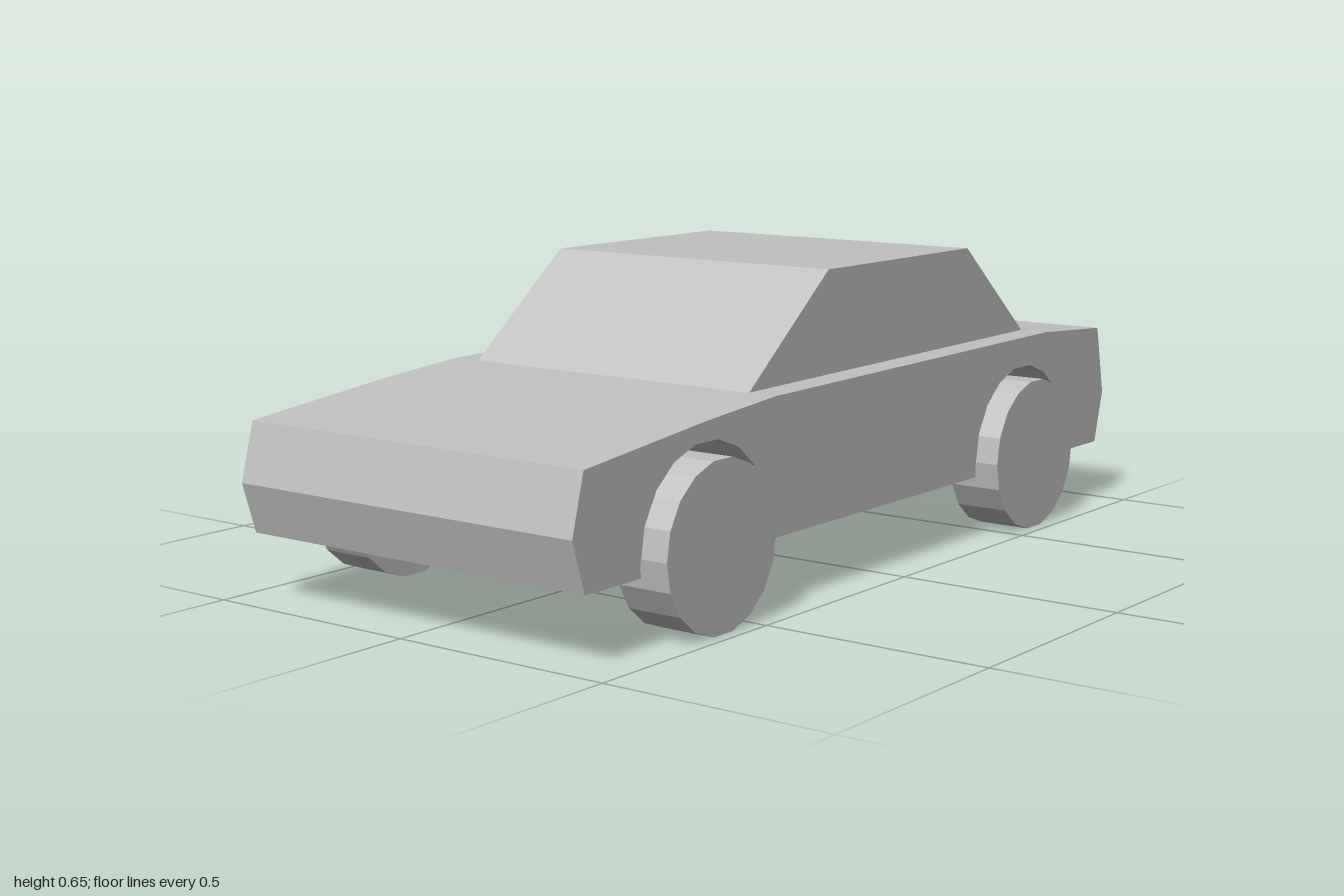
import * as THREE from 'three';

const AXLE_Z = 0.603, AXLE_Y = 0.173, SIDES = 18;
const WHEEL_R = 0.174, ARCH_R = 0.203, SILL_Y = 0.145;

// Extrudes a side profile of [z, y] points across the width of the car
function extrudeAcross(profile, width) {
  const shape = new THREE.Shape(profile.map(([z, y]) => new THREE.Vector2(z, y)));
  const geometry = new THREE.ExtrudeGeometry(shape, { depth: width, bevelEnabled: false });
  geometry.translate(0, 0, -width / 2);
  geometry.rotateY(-Math.PI / 2);
  return geometry;
}

// Wheel cut-out, walked from its rear foot over the top to its front foot
function arch(centreZ) {
  const points = [[centreZ - ARCH_R, SILL_Y]];
  for (let i = 0; i <= SIDES / 2; i++) {
    const a = Math.PI - (i * 2 * Math.PI) / SIDES;
    points.push([centreZ + ARCH_R * Math.cos(a), AXLE_Y + ARCH_R * Math.sin(a)]);
  }
  points.push([centreZ + ARCH_R, SILL_Y]);
  return points;
}

export function createModel() {
  const car = new THREE.Group();
  car.name = 'car';
  const paint = new THREE.MeshStandardMaterial({ color: 0xc0c0c0 });
  paint.name = 'plain grey';
  paint.flatShading = true;

  const add = (name, geometry) => {
    const mesh = new THREE.Mesh(geometry, paint);
    mesh.name = name;
    car.add(mesh);
    return mesh;
  };

  // Lower body, with the wheel arches cut through the full width
  add('body', extrudeAcross([
    [-0.967, SILL_Y],
    ...arch(-AXLE_Z),
    ...arch(AXLE_Z),
    [0.967, SILL_Y], [1.0, 0.252], [0.967, 0.375],
    [0.6, 0.414], [0.376, 0.432], [-0.71, 0.442],
    [-0.967, 0.425], [-1.0, 0.265],
  ], 0.866));

  // Cabin, sunk slightly into the body
  add('cabin', extrudeAcross([
    [0.39, 0.42], [0.097, 0.655], [-0.46, 0.655], [-0.738, 0.42],
  ].reverse(), 0.732));

  // Four wheels
  const wheelGeometry = new THREE.CylinderGeometry(WHEEL_R, WHEEL_R, 0.124, SIDES);
  wheelGeometry.rotateZ(Math.PI / 2);
  for (const [end, z] of [['front', AXLE_Z], ['rear', -AXLE_Z]]) {
    for (const [side, x] of [['Left', 0.41], ['Right', -0.41]]) {
      add(`${end}${side}Wheel`, wheelGeometry).position.set(x, AXLE_Y, z);
    }
  }
  return car;
}
